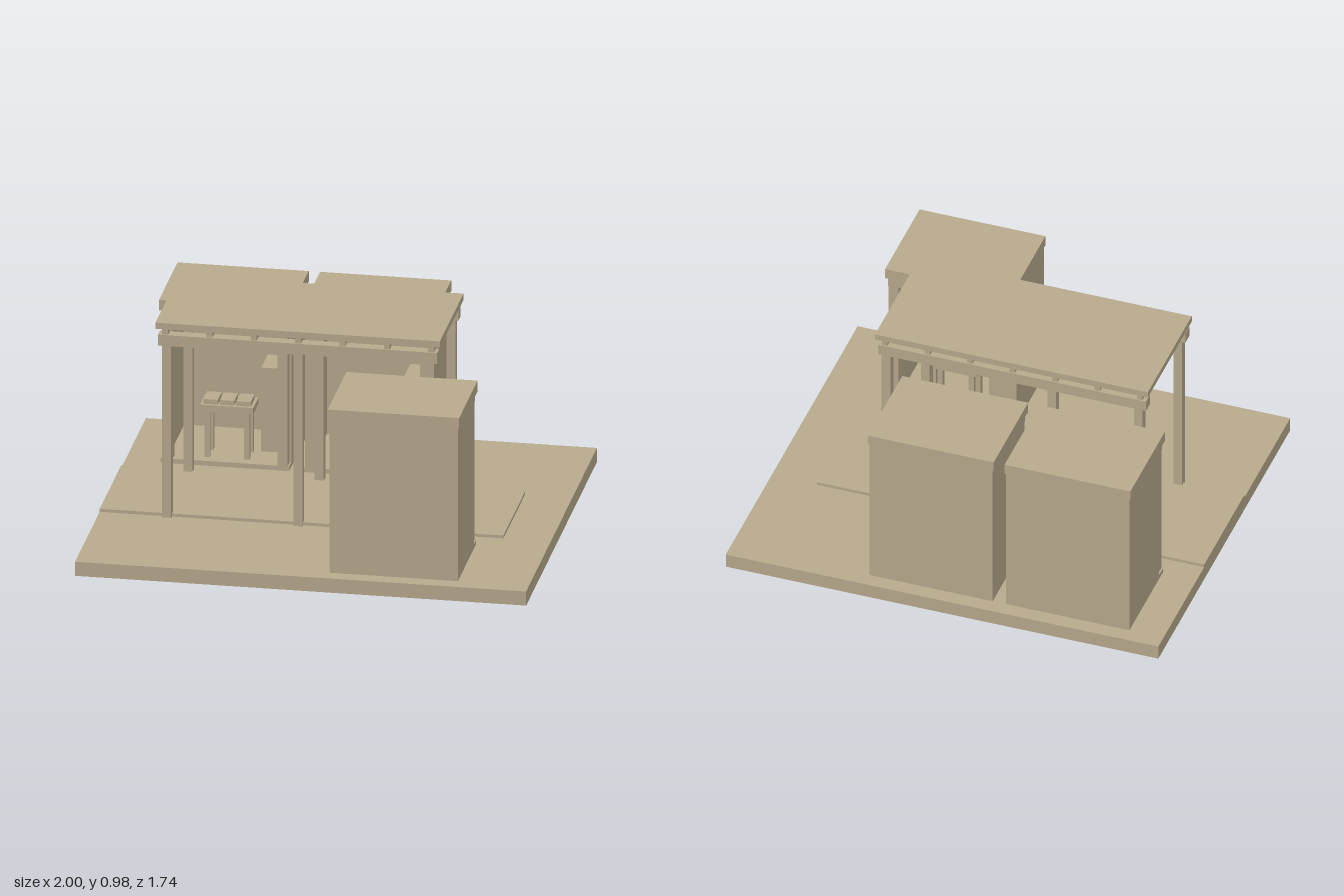
import * as THREE from 'three';

const clay = new THREE.MeshStandardMaterial({ color: 0xb8a98d });
clay.name = 'sandstone';
clay.flatShading = true;

// Box given by its min and max on each axis
function box(parent, name, x0, x1, y0, y1, z0, z1) {
  const mesh = new THREE.Mesh(new THREE.BoxGeometry(x1 - x0, y1 - y0, z1 - z0), clay);
  mesh.position.set((x0 + x1) / 2, (y0 + y1) / 2, (z0 + z1) / 2);
  mesh.name = name;
  parent.add(mesh);
  return mesh;
}

function pot(parent, x, y, z) {
  const profile = [[0, 0], [0.02, 0], [0.033, 0.025], [0.033, 0.06], [0.022, 0.09], [0, 0.09]]
    .map(([r, h]) => new THREE.Vector2(r, h));
  const mesh = new THREE.Mesh(new THREE.LatheGeometry(profile, 8), clay);
  mesh.position.set(x, y, z);
  mesh.name = 'pot';
  parent.add(mesh);
}

// Hollow stall centred on x = 0, z = 0, opening towards +z
function stall(goods) {
  const g = new THREE.Group();
  g.name = 'marketStall';
  box(g, 'stallFloor', -0.285, 0.285, 0.065, 0.088, -0.225, 0.217);
  box(g, 'backWall', -0.285, 0.285, 0.088, 0.785, -0.225, -0.195);
  box(g, 'stallRoof', -0.291, 0.291, 0.783, 0.832, -0.229, 0.226);
  box(g, 'lintel', -0.28, 0.28, 0.737, 0.784, 0.165, 0.217);
  box(g, 'signBoard', -0.103, 0.103, 0.737, 0.777, 0.217, 0.233);
  for (const s of [-1, 1]) {
    box(g, 'sideWall', s * 0.27 - 0.015, s * 0.27 + 0.015, 0.088, 0.785, -0.197, 0.167);
    box(g, 'doorPillar', s * 0.255 - 0.023, s * 0.255 + 0.023, 0.088, 0.737, 0.174, 0.217);
  }
  // Counter with four legs
  box(g, 'counterTop', -0.118, 0.118, 0.305, 0.335, 0.05, 0.178);
  for (const x of [-0.088, 0.088])
    for (const z of [0.07, 0.158])
      box(g, 'counterLeg', x - 0.012, x + 0.012, 0.088, 0.305, z - 0.012, z + 0.012);
  box(g, 'cabinet', 0.132, 0.228, 0.088, 0.48, -0.1, 0.06);
  // Wares on the counter
  for (let i = -1; i <= 1; i++) {
    if (goods === 'pots') pot(g, i * 0.072, 0.335, 0.115);
    else box(g, 'tray', i * 0.073 - 0.032, i * 0.073 + 0.032, 0.335, 0.357, 0.07, 0.165);
  }
  return g;
}

export function createModel() {
  const model = new THREE.Group();
  model.name = 'marketCourt';

  box(model, 'groundSlab', -1, 1, 0, 0.066, -0.87, 0.87);
  box(model, 'walkway', -1, 0.79, 0.066, 0.08, -0.265, 0.265);

  // Two stalls behind and one in front, all facing the walkway
  for (const [x, z, turn, goods] of [
    [-0.557, -0.576, 0, 'trays'],
    [0.075, -0.576, 0, 'pots'],
    [0.4, 0.576, Math.PI, 'trays'],
  ]) {
    const s = stall(goods);
    s.position.set(x, 0, z);
    s.rotation.y = turn;
    model.add(s);
  }

  // Canopy over the walkway
  const canopy = new THREE.Group();
  canopy.name = 'canopy';
  model.add(canopy);
  for (const z of [-0.26, 0.26]) {
    for (const x of [-0.7, -0.118, 0.466])
      box(canopy, 'canopyPost', x - 0.02, x + 0.02, 0.066, 0.872, z - 0.02, z + 0.02);
    box(canopy, 'canopyBeam', -0.738, 0.5, 0.872, 0.923, z - 0.026, z + 0.026);
  }
  for (let i = 0; i < 7; i++) {
    const x = -0.707 + i * 0.1965;
    box(canopy, 'rafter', x - 0.013, x + 0.013, 0.923, 0.951, -0.28, 0.28);
  }
  box(canopy, 'canopyRoof', -0.748, 0.513, 0.951, 0.98, -0.29, 0.29);
  return model;
}
